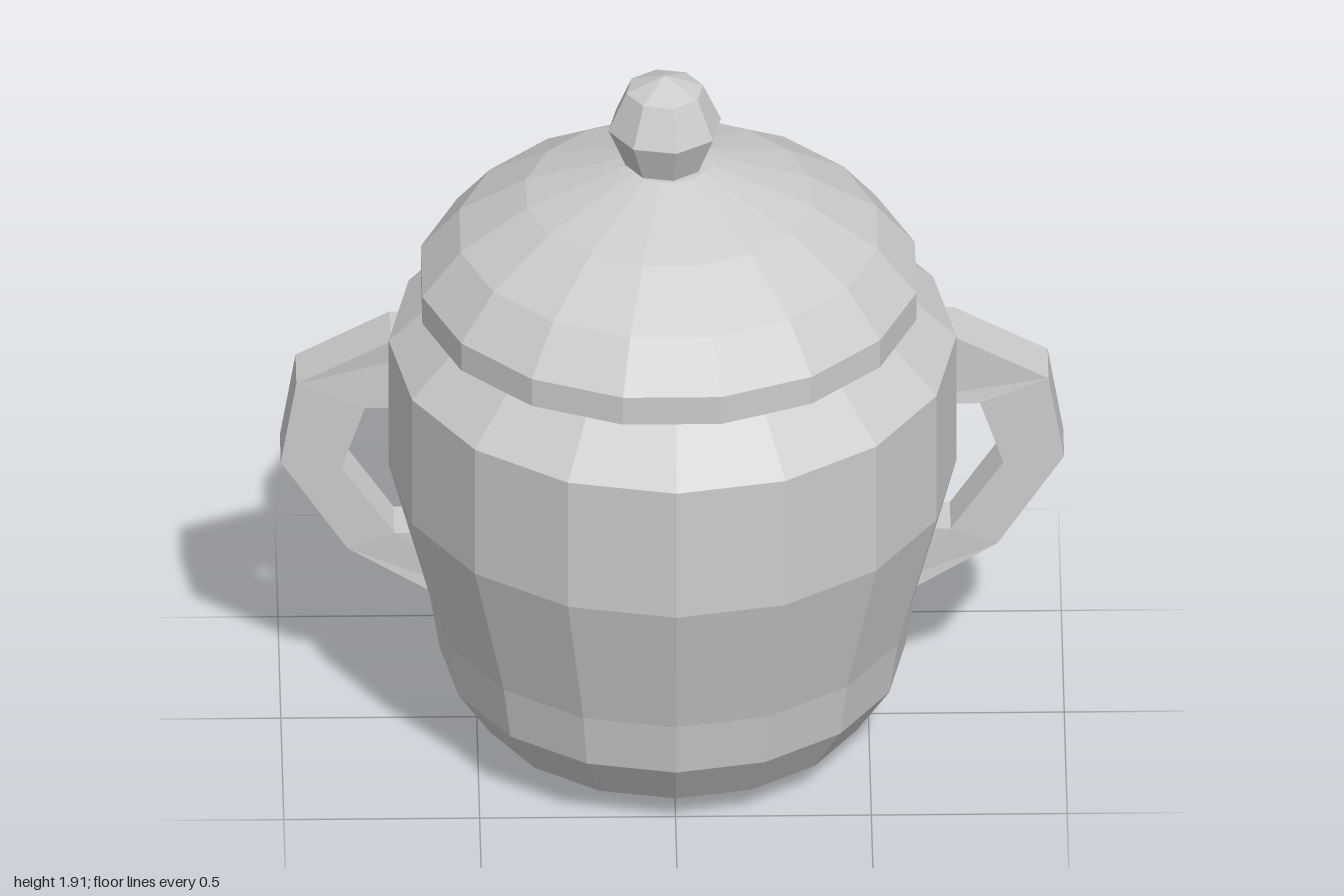
import * as THREE from 'three';

const material = new THREE.MeshStandardMaterial({ color: 0xcccccc, flatShading: true });

// Faceted solid of revolution from [radius, height] pairs, bottom to top
function turned(name, profile, sides, phiStart = 0) {
  const points = profile.map(([r, y]) => new THREE.Vector2(r, y));
  const mesh = new THREE.Mesh(new THREE.LatheGeometry(points, sides, phiStart), material);
  mesh.name = name;
  return mesh;
}

// Angular loop handle, side = 1 (left) or -1 (right)
function handle(name, side) {
  const outline = [
    [0.5, 1.12], [0.72, 1.12], [0.96, 0.985], [1.0, 0.75], [0.83, 0.5], [0.6, 0.365], [0.5, 0.365],
    [0.5, 0.55], [0.71, 0.55], [0.845, 0.74], [0.785, 0.92], [0.5, 0.92],
  ];
  const shape = new THREE.Shape(outline.map(([x, y]) => new THREE.Vector2(side * x, y)));
  const geometry = new THREE.ExtrudeGeometry(shape, { depth: 1, bevelEnabled: false });
  // Sweep the loop slightly backwards and thin it towards the bottom
  const p = geometry.attributes.position;
  for (let i = 0; i < p.count; i++) {
    const sweep = -0.075 * Math.max(0, Math.abs(p.getX(i)) - 0.7);
    const width = 0.15 - 0.035 * (1.12 - p.getY(i));
    p.setZ(i, sweep - width * (1 - p.getZ(i)));
  }
  geometry.computeVertexNormals();
  const mesh = new THREE.Mesh(geometry, material);
  mesh.name = name;
  return mesh;
}

export function createModel() {
  const group = new THREE.Group();
  group.name = 'lidded pot';

  // Pot body, slightly narrower across x
  const body = turned('body', [
    [0, 0], [0.4, 0.01], [0.535, 0.075], [0.63, 0.21], [0.655, 0.36],
    [0.767, 0.755], [0.767, 1.125], [0.62, 1.26], [0, 1.26],
  ], 16);
  body.scale.x = 0.945;
  group.add(body);

  // Domed lid with a straight rim, turned half a facet
  const lid = turned('lid', [
    [0, 1.25], [0.643, 1.25], [0.643, 1.33], [0.543, 1.45], [0.37, 1.56], [0.11, 1.655], [0, 1.655],
  ], 16, Math.PI / 16);
  lid.position.x = -0.01;
  group.add(lid);

  // Knob
  const knob = turned('knob', [
    [0, 1.65], [0.1, 1.65], [0.147, 1.762], [0.1, 1.868], [0, 1.91],
  ], 8, Math.PI / 16);
  knob.position.x = -0.02;
  group.add(knob);

  group.add(handle('leftHandle', 1), handle('rightHandle', -1));
  return group;
}
